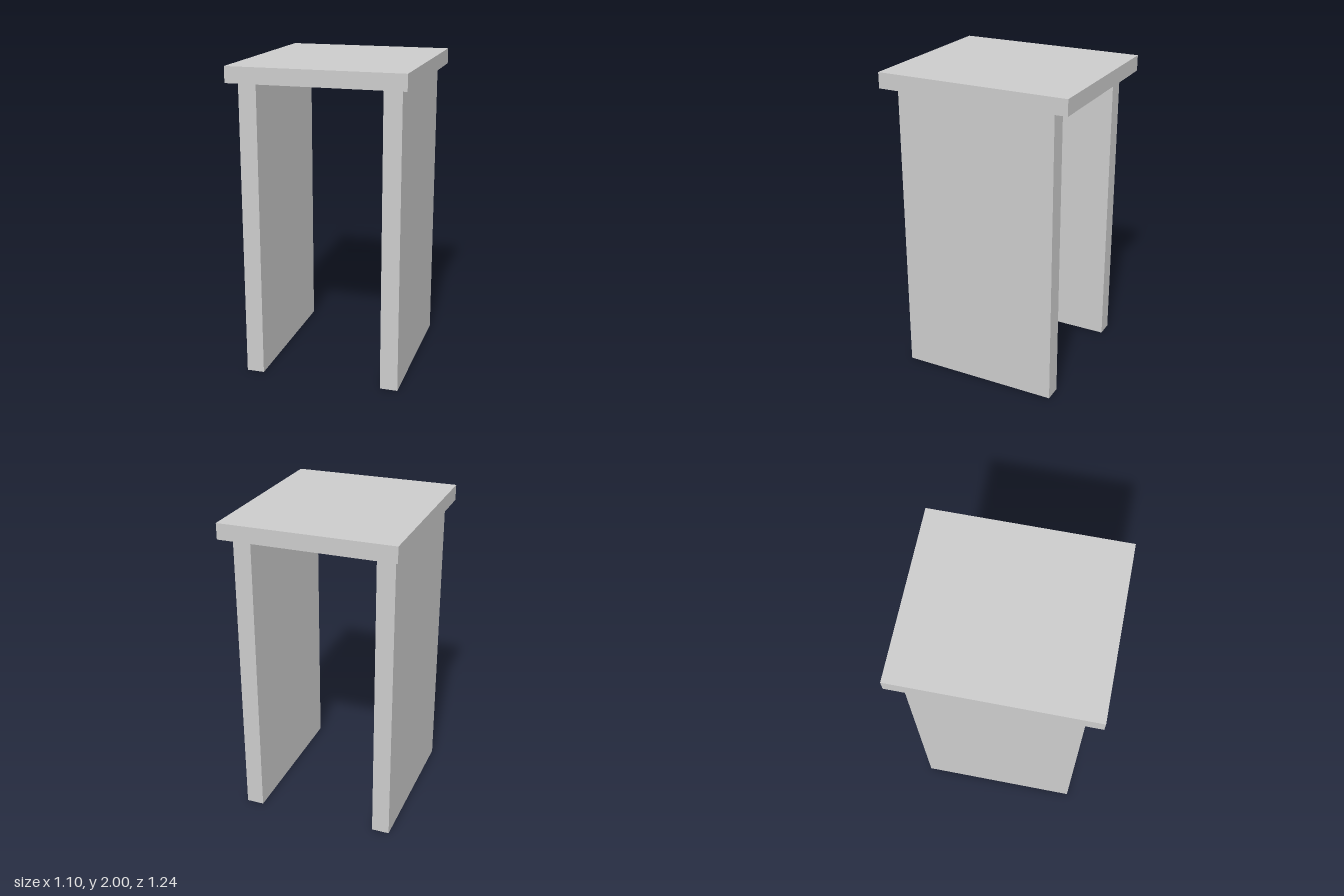
import * as THREE from 'three';

export function createModel() {
  const model = new THREE.Group();
  model.name = 'table';
  const material = new THREE.MeshStandardMaterial({ color: 0xcccccc });

  const TOP_Y = 1.9; // underside of the top slab

  function slab(name, width, height, depth, x, bottom) {
    const mesh = new THREE.Mesh(new THREE.BoxGeometry(width, height, depth), material);
    mesh.name = name;
    mesh.position.set(x, bottom + height / 2, 0);
    model.add(mesh);
  }

  // Overhanging top
  slab('tableTop', 1.098, 2 - TOP_Y, 1.236, 0, TOP_Y);

  // Full-depth panel legs, set very slightly towards the right
  slab('leftLegPanel', 0.113, TOP_Y, 1.034, 0.443, 0);
  slab('rightLegPanel', 0.113, TOP_Y, 1.034, -0.451, 0);

  return model;
}
